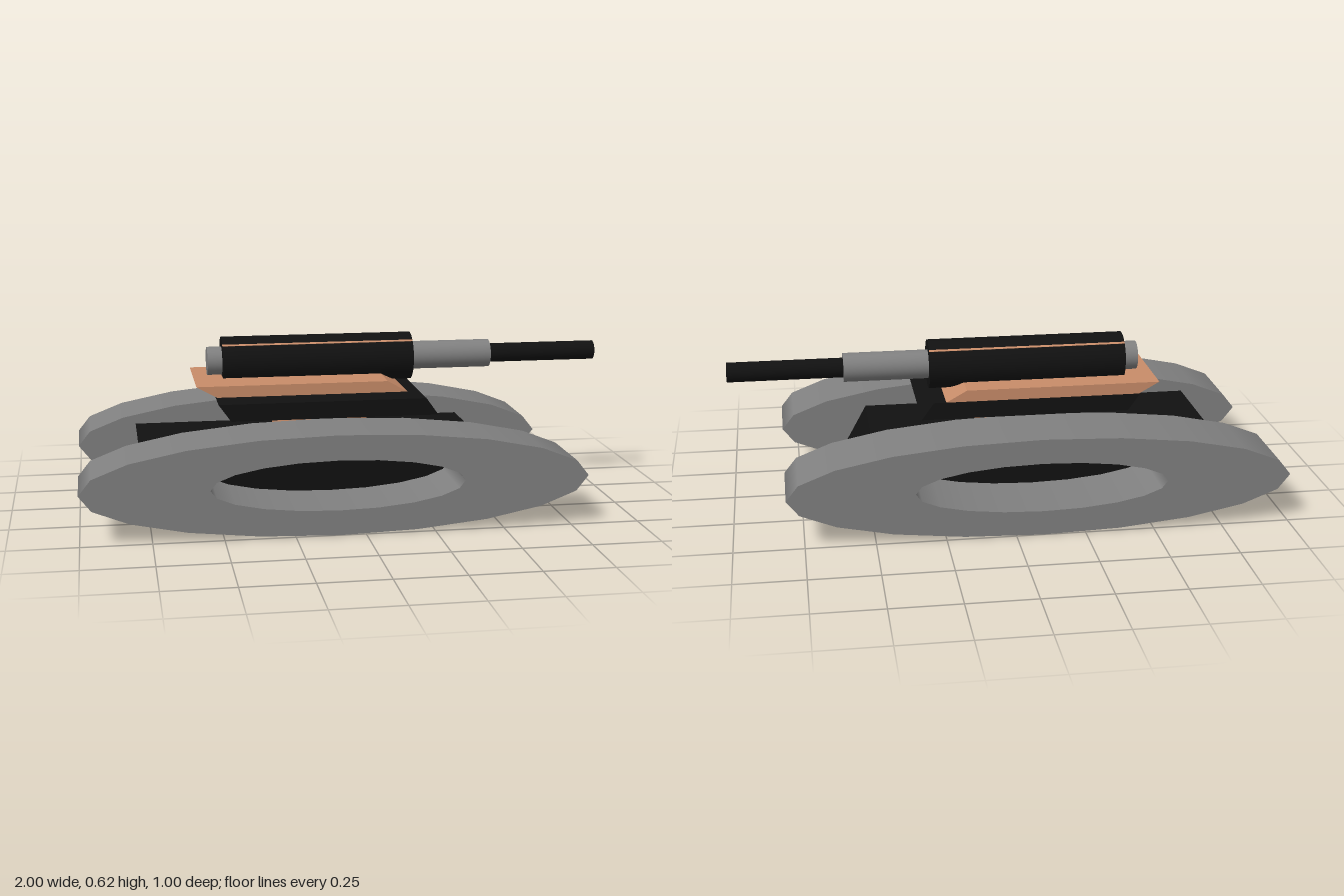
import * as THREE from 'three';

const mat = (color) => new THREE.MeshStandardMaterial({ color, side: THREE.DoubleSide });
const BLACK = mat(0x111111), GREY = mat(0x808080), COPPER = mat(0xc88c69);
const CX = -0.095; // centre of wheels and turret
const GUN_Y = 0.53, GUN_Z = -0.09;

export function createModel() {
  const model = new THREE.Group();
  const add = (name, geometry, material, parent = model) => {
    const mesh = new THREE.Mesh(geometry, material);
    mesh.name = name;
    parent.add(mesh);
    return mesh;
  };

  // Slab with slanted ends: bottom x0..x1, top shifted by lean
  const slab = (name, x0, x1, y0, y1, z0, z1, lean, material) => {
    const shape = new THREE.Shape([
      new THREE.Vector2(x0, y0), new THREE.Vector2(x1, y0),
      new THREE.Vector2(x1 + lean, y1), new THREE.Vector2(x0 + lean, y1),
    ]);
    const g = new THREE.ExtrudeGeometry(shape, { depth: z1 - z0, bevelEnabled: false });
    add(name, g.translate(0, 0, z0), material);
  };

  // Cylinder along x on the gun axis
  const gunTube = (name, r, x0, x1, material) => {
    const g = new THREE.CylinderGeometry(r, r, x1 - x0, 32).rotateZ(-Math.PI / 2);
    add(name, g, material).position.set((x0 + x1) / 2, GUN_Y, GUN_Z);
  };

  // Flattened ring wheels: smooth rims with flat side faces
  const rim = (r, depth) => new THREE.CylinderGeometry(r, r, depth, 20, 1, true).rotateX(Math.PI / 2);
  for (const side of [1, -1]) {
    const wheel = new THREE.Group();
    const depth = 0.272;
    wheel.name = side > 0 ? 'frontWheel' : 'backWheel';
    add('outerRim', rim(1, depth), GREY, wheel);
    add('innerRim', rim(0.5, depth), GREY, wheel);
    for (const face of [1, -1]) {
      const ring = new THREE.RingGeometry(0.5, 1, 20);
      if (face < 0) ring.rotateY(Math.PI);
      add('sideFace', ring.translate(0, 0, face * depth / 2), GREY, wheel);
    }
    wheel.position.set(CX, 0.184, side * 0.364);
    wheel.scale.set(0.905, 0.181, 1);
    model.add(wheel);
  }

  // Hull with a thin floor plate
  slab('hull', -0.67, 0.595, 0.066, 0.265, -0.229, 0.229, -0.11, BLACK);
  slab('floorPlate', -0.67, 0.595, 0.063, 0.067, -0.255, 0.255, 0, BLACK);

  // Turret
  add('turretRing', new THREE.CylinderGeometry(0.18, 0.18, 0.105, 32), COPPER)
    .position.set(CX, 0.3175, 0);
  slab('turretPlate', -0.45, 0.31, 0.37, 0.433, -0.255, 0.255, -0.045, BLACK);
  slab('turretTop', -0.49, 0.22, 0.433, 0.475, -0.255, 0.13, -0.075, COPPER);

  // Gun
  gunTube('gunHousing', 0.09, -0.455, 0.27, BLACK);
  gunTube('gunSleeve', 0.053, -0.51, 0.58, GREY);
  gunTube('gunBarrel', 0.036, 0.5, 1, BLACK);

  // Thin inlaid strips along the housing
  for (const s of [1, -1]) {
    const a = s * 0.73;
    const strip = add('housingStrip', new THREE.BoxGeometry(0.725, 0.004, 0.008), COPPER);
    strip.position.set(-0.0925, GUN_Y + 0.089 * Math.cos(a), GUN_Z + 0.089 * Math.sin(a));
    strip.rotation.x = a;
  }
  return model;
}
